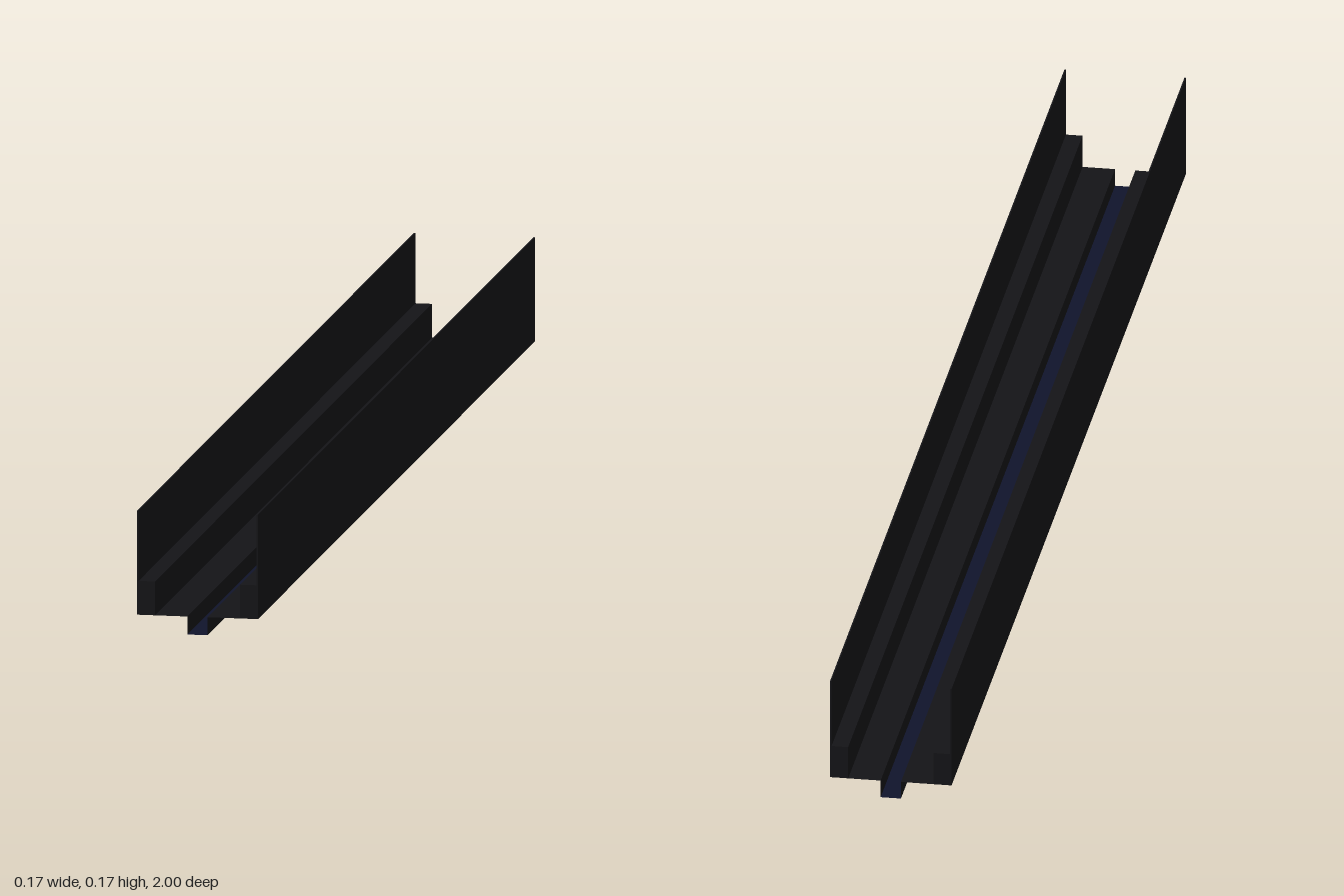
import * as THREE from 'three';

const LENGTH = 2, HALF = 0.084, FLOOR_Y = 0.025, TOP_Y = 0.17, SLOT = 0.014;

export function createModel() {
  const group = new THREE.Group();
  const dark = new THREE.MeshStandardMaterial({ color: 0x141417, side: THREE.DoubleSide });
  const blue = new THREE.MeshStandardMaterial({ color: 0x10142c, side: THREE.DoubleSide });

  const add = (name, geometry, material) => {
    const mesh = new THREE.Mesh(geometry, material);
    mesh.name = name;
    group.add(mesh);
  };
  // Box given by its x and y limits, running the whole length
  const bar = (x0, x1, y0, y1) =>
    new THREE.BoxGeometry(Math.abs(x1 - x0), y1 - y0, LENGTH)
      .translate((x0 + x1) / 2, (y0 + y1) / 2, 0);
  // Thin horizontal sheet running the whole length
  const sheet = (x0, x1, y) =>
    new THREE.PlaneGeometry(Math.abs(x1 - x0), LENGTH)
      .rotateX(-Math.PI / 2).translate((x0 + x1) / 2, y, 0);

  for (const [side, s] of [['left', 1], ['right', -1]]) {
    // Tall thin side wall
    add(side + 'Wall', bar(s * (HALF - 0.002), s * HALF, FLOOR_Y, TOP_Y), dark);
    // Ledge along the foot of the wall
    add(side + 'Ledge', bar(s * 0.059, s * (HALF - 0.001), FLOOR_Y, 0.072), dark);
    // Floor between the wall and the centre channel
    add(side + 'Floor', sheet(s * SLOT, s * HALF, FLOOR_Y), dark);
    // Side of the sunken centre channel
    add(side + 'ChannelSide', new THREE.PlaneGeometry(LENGTH, FLOOR_Y)
      .rotateY(s * -Math.PI / 2).translate(s * SLOT, FLOOR_Y / 2, 0), dark);
  }
  // Bottom of the centre channel
  add('channelBottom', sheet(-SLOT, SLOT, 0), blue);

  return group;
}
